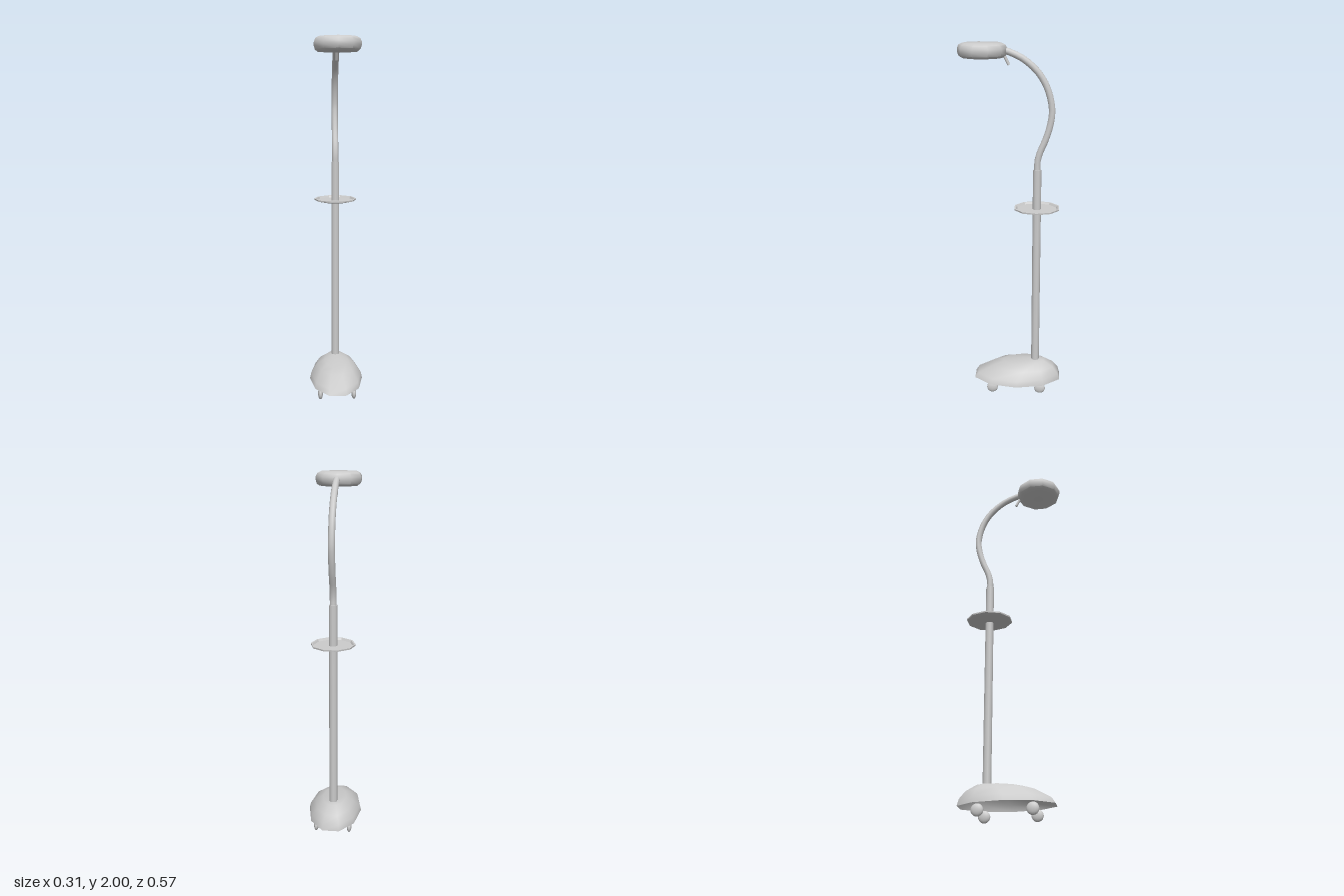
import * as THREE from 'three';
import { toCreasedNormals } from 'three/addons/utils/BufferGeometryUtils.js';

const grey = new THREE.MeshStandardMaterial({ color: 0xcccccc });
const shellGrey = new THREE.MeshStandardMaterial({ color: 0xcccccc, side: THREE.DoubleSide });
const SIDES = 10;
const POLE_Z = -0.14;

function add(parent, name, geometry, material = grey) {
  const mesh = new THREE.Mesh(geometry, material);
  mesh.name = name;
  parent.add(mesh);
  return mesh;
}

// Turned ten-sided part from [radius, y] pairs, bottom to top
function turned(profile, crease) {
  const lathe = new THREE.LatheGeometry(profile.map(([r, y]) => new THREE.Vector2(r, y)), SIDES);
  return toCreasedNormals(lathe, crease);
}

// Open, lopsided dome: each ring is [front z, front y, back z, back y, half width]
function domeGeometry() {
  const rings = [
    [0.215, 0.065, -0.285, 0.065, 0.153],
    [0.195, 0.095, -0.275, 0.1, 0.146],
    [0.105, 0.144, -0.245, 0.14, 0.11],
    [0.05, 0.161, -0.19, 0.174, 0.068],
  ];
  const positions = [];
  const index = [];
  const reach = Math.sin(0.4 * Math.PI);
  for (const [fz, fy, bz, by, w] of rings) {
    for (let i = 0; i < SIDES; i++) {
      const a = (i / SIDES) * Math.PI * 2;
      const t = Math.sin(a) / reach; // 1 at the front, -1 at the back
      positions.push(Math.cos(a) * w, (fy + by) / 2 + (t * (fy - by)) / 2, (fz + bz) / 2 + (t * (fz - bz)) / 2);
    }
  }
  const apex = positions.length / 3;
  positions.push(0, 0.18, POLE_Z);
  for (let r = 0; r < rings.length; r++) {
    for (let i = 0; i < SIDES; i++) {
      const a = r * SIDES + i;
      const b = r * SIDES + ((i + 1) % SIDES);
      if (r === rings.length - 1) index.push(a, apex, b);
      else index.push(a, a + SIDES, b, b, a + SIDES, b + SIDES);
    }
  }
  const geometry = new THREE.BufferGeometry();
  geometry.setAttribute('position', new THREE.Float32BufferAttribute(positions, 3));
  geometry.setIndex(index);
  geometry.computeVertexNormals();
  return geometry;
}

export function createModel() {
  const model = new THREE.Group();
  model.name = 'floorLamp';

  // Hollow base on four flattened casters
  add(model, 'base', domeGeometry(), shellGrey);
  for (const x of [-0.095, 0.095]) {
    for (const z of [0.108, -0.17]) {
      const caster = add(model, 'caster', new THREE.SphereGeometry(0.0325, 14, 10));
      caster.scale.x = 0.43;
      caster.position.set(x, 0.0325, z);
    }
  }

  // Upright pole
  const pole = add(model, 'pole', new THREE.CylinderGeometry(0.023, 0.023, 1.16, SIDES));
  pole.position.set(0, 0.75, POLE_Z);

  // Shallow tray with a raised rim
  const tray = add(model, 'tray', turned([
    [0, 1.098], [0.07, 1.098], [0.12, 1.11], [0.121, 1.118],
    [0.112, 1.118], [0.106, 1.108], [0, 1.108],
  ], 0.5));
  tray.rotation.y = Math.PI / 2;
  tray.scale.x = 1.07;
  tray.position.z = POLE_Z;

  // Curved neck, listed as [y, z]
  const neckPath = [
    [1.31, -0.14], [1.37, -0.14], [1.42, -0.151], [1.5, -0.184], [1.58, -0.207], [1.655, -0.215],
    [1.765, -0.19], [1.85, -0.14], [1.92, -0.06], [1.955, 0.015], [1.965, 0.045],
  ].map(([y, z]) => new THREE.Vector3(0, y, z));
  add(model, 'neck', new THREE.TubeGeometry(new THREE.CatmullRomCurve3(neckPath), 22, 0.018, SIDES), shellGrey);

  // Rounded lamp head
  const head = add(model, 'lampHead', turned([
    [0, 1.925], [0.108, 1.925], [0.122, 1.936], [0.128, 1.955],
    [0.128, 1.972], [0.12, 1.99], [0.1, 2.0], [0, 2.0],
  ], 0.75));
  head.scale.z = 1.02;
  head.position.z = 0.1525;

  // Small handle under the back of the head
  const from = new THREE.Vector3(0, 1.94, 0.04);
  const to = new THREE.Vector3(0, 1.888, 0.014);
  const handle = add(model, 'handle', new THREE.CylinderGeometry(0.008, 0.008, from.distanceTo(to), 8));
  handle.position.copy(from).lerp(to, 0.5);
  handle.quaternion.setFromUnitVectors(new THREE.Vector3(0, 1, 0), from.clone().sub(to).normalize());

  return model;
}
